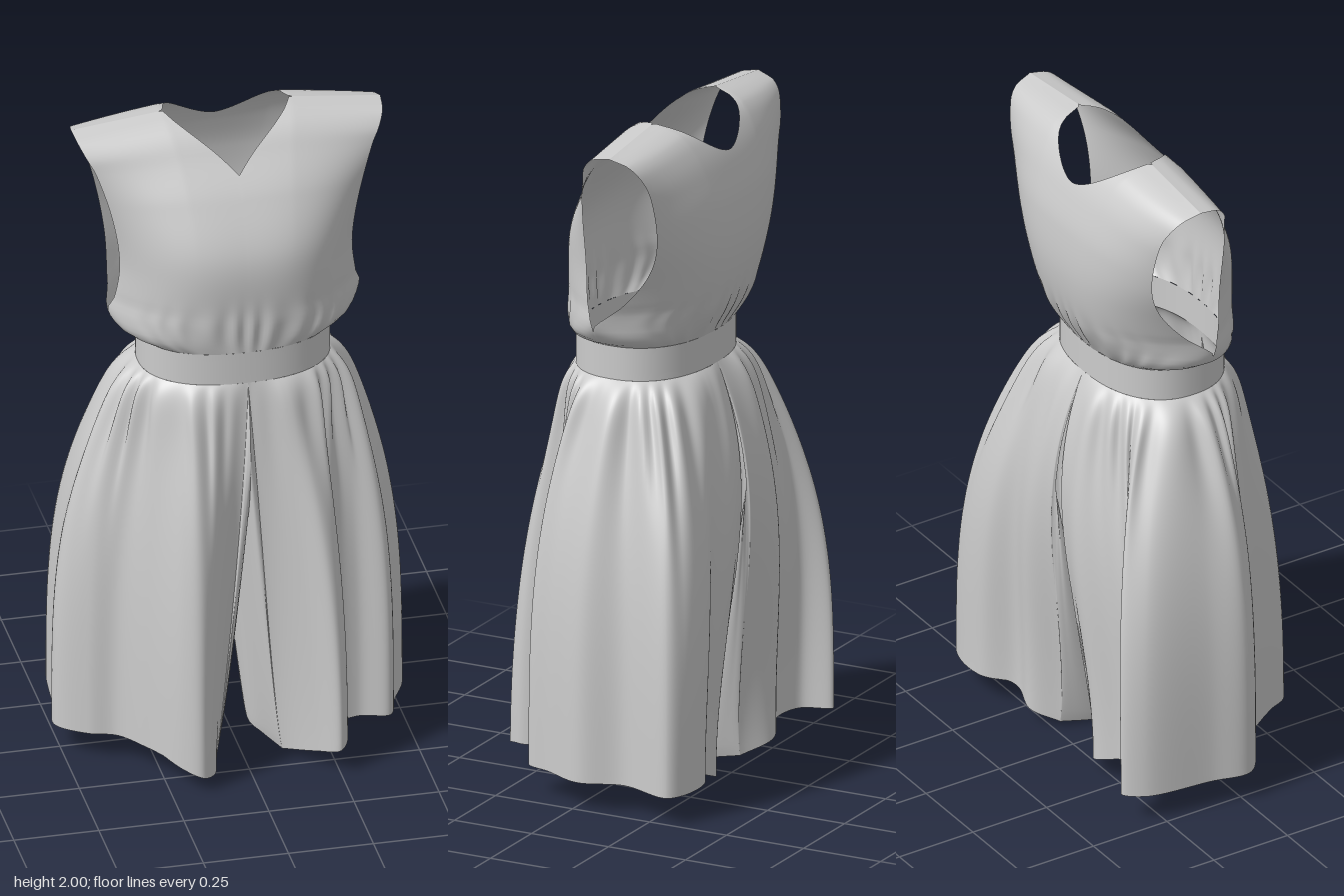
import * as THREE from 'three';
import { mergeGeometries, mergeVertices } from 'three/addons/utils/BufferGeometryUtils.js';

const CX = 0.01, WAIST = 1.24, BAND_TOP = 1.34, NECK = 0.41;
const P = 2.3; // roundness of the waist outline

// Smooth interpolation through [position, value] pairs
function profile(pts) {
  const slope = (i) => {
    const a = pts[Math.max(i - 1, 0)], b = pts[Math.min(i + 1, pts.length - 1)];
    return (b[1] - a[1]) / (b[0] - a[0]);
  };
  return (t) => {
    if (t <= pts[0][0]) return pts[0][1];
    let i = 0;
    while (i < pts.length - 1 && t > pts[i + 1][0]) i++;
    if (i === pts.length - 1) return pts[i][1];
    const [a, va] = pts[i], [b, vb] = pts[i + 1], h = b - a, s = (t - a) / h;
    const s2 = s * s, s3 = s2 * s;
    return va * (2 * s3 - 3 * s2 + 1) + vb * (3 * s2 - 2 * s3)
      + h * (slope(i) * (s3 - 2 * s2 + s) + slope(i + 1) * (s3 - s2));
  };
}

// Grid surface from f(u, v) -> [x, y, z]
function grid(nu, nv, f, flip = false) {
  const pos = [], idx = [];
  for (let j = 0; j <= nv; j++)
    for (let i = 0; i <= nu; i++) pos.push(...f(i / nu, j / nv));
  for (let j = 0; j < nv; j++)
    for (let i = 0; i < nu; i++) {
      const a = j * (nu + 1) + i, b = a + 1, c = a + nu + 1, d = c + 1;
      if (flip) idx.push(a, c, b, b, c, d);
      else idx.push(a, b, c, b, d, c);
    }
  const g = new THREE.BufferGeometry();
  g.setAttribute('position', new THREE.Float32BufferAttribute(pos, 3));
  g.setIndex(idx);
  return g;
}

const material = new THREE.MeshStandardMaterial({ color: 0xcccccc, side: THREE.DoubleSide });

// Sew panels together so normals run smoothly over the seams
function sew(name, panels) {
  const g = mergeVertices(mergeGeometries(panels), 1e-4);
  g.computeVertexNormals();
  const mesh = new THREE.Mesh(g, material);
  mesh.name = name;
  return mesh;
}

// Waist outline; angle 0 is the front centre, going towards +x
function waist(angle) {
  const pw = (n) => Math.sign(n) * Math.abs(n) ** (2 / P);
  return [CX + 0.28 * pw(Math.sin(angle)), -0.01 + 0.2 * pw(Math.cos(angle))];
}

// Bodice: half width, centre depth and armhole edge depth by height
const halfWidth = profile([[1.34, 0.28], [1.37, 0.335], [1.43, 0.37], [1.48, 0.355],
  [1.6, 0.342], [1.75, 0.362], [1.9, 0.405], [1.96, 0.435], [2, 0.455]]);
const frontSide = {
  centre: profile([[1.34, 0.19], [1.45, 0.197], [1.64, 0.195], [1.8, 0.12], [1.9, 0.045], [1.96, -0.005],
    [1.99, -0.055], [2, -0.1]]),
  edge: profile([[1.34, -0.01], [1.38, 0], [1.42, 0], [1.5, 0.025], [1.65, 0.035], [1.8, 0.03],
    [1.93, 0.005], [1.97, -0.02], [1.99, -0.05], [2, -0.1]]),
  neck: (a) => 1.86 + 0.14 * (1 - (1 - a) ** 1.2),
};
const backSide = {
  centre: profile([[1.34, -0.21], [1.45, -0.265], [1.6, -0.295], [1.75, -0.29], [1.85, -0.265],
    [1.92, -0.235], [1.97, -0.195], [1.99, -0.15], [2, -0.1]]),
  edge: profile([[1.34, -0.01], [1.38, 0], [1.42, 0], [1.5, -0.09], [1.6, -0.165], [1.7, -0.2],
    [1.85, -0.205], [1.93, -0.19], [1.98, -0.155], [2, -0.1]]),
  neck: (a) => 1.89 + 0.11 * a ** 1.7,
};

function bodicePanel(side, flip) {
  return grid(120, 60, (a, v) => {
    const u = Math.sin((a - 0.5) * Math.PI), au = Math.min(1, Math.abs(u));
    const shoulder = 2 - 0.03 * Math.max(0, (au - NECK) / (1 - NECK));
    const top = au < NECK ? side.neck(au / NECK) : shoulder;
    const y = BAND_TOP + (top - BAND_TOP) * Math.sin(v * Math.PI / 2);
    const yn = BAND_TOP + (y - BAND_TOP) * (2 - BAND_TOP) / (shoulder - BAND_TOP);
    // Below the armhole both panels share the side seam
    const e = yn <= 1.42 ? -0.01 + 0.01 * Math.min(1, (yn - BAND_TOP) / 0.04) : side.edge(yn);
    // Oval at the waistband, flat chest with slanting sides above
    const oval = Math.max(0, 1 - au ** P) ** (1 / P), chest = 1 - au ** 3;
    const round = THREE.MathUtils.lerp(oval, chest, THREE.MathUtils.smoothstep(yn, BAND_TOP, 1.46));
    const fade = Math.exp(-(((yn - 1.41) / 0.06) ** 2)) * (1 - au * au);
    const gather = 0.005 * fade * Math.sin(u * 34 + 1.5 * Math.sin(u * 9));
    return [CX + u * halfWidth(yn), y, e + (side.centre(yn) - e) * round + gather];
  }, flip);
}

// Trouser legs: hem outline [x, z] front to back round the outside, then back to front inside
const legs = [
  {
    sign: -1,
    outer: [[-0.09, 0.21], [-0.115, 0.31], [-0.16, 0.355], [-0.215, 0.325], [-0.29, 0.21], [-0.36, 0.12],
      [-0.44, 0.09], [-0.52, 0.02], [-0.5, -0.1], [-0.47, -0.3], [-0.42, -0.355], [-0.38, -0.27],
      [-0.28, -0.25], [-0.18, -0.29], [-0.09, -0.23]],
    inner: [[-0.09, -0.23], [-0.055, -0.12], [-0.035, -0.03], [-0.055, 0.08], [-0.09, 0.21]],
  },
  {
    sign: 1,
    outer: [[0.11, 0.19], [0.19, 0.28], [0.25, 0.335], [0.28, 0.29], [0.265, 0.2], [0.34, 0.165],
      [0.43, 0.18], [0.46, 0.1], [0.51, -0.02], [0.47, -0.15], [0.515, -0.31], [0.46, -0.345],
      [0.34, -0.345], [0.25, -0.28], [0.17, -0.29], [0.1, -0.23]],
    inner: [[0.1, -0.23], [0.07, -0.12], [0.06, -0.02], [0.08, 0.07], [0.11, 0.19]],
  },
];
const spline = (pts) => new THREE.CatmullRomCurve3(pts.map(([a, b]) => new THREE.Vector3(a, b, 0)));

// Centre seam [z, y] from back waist under the crotch to front waist
const seam = spline([[-0.21, WAIST], [-0.262, 1.1], [-0.295, 0.96], [-0.295, 0.84], [-0.15, 0.735],
  [0.02, 0.71], [0.17, 0.77], [0.22, 0.92], [0.217, 1.1], [0.19, WAIST]]);

const hemHeight = (x) => 0.085 * Math.min(1, Math.max(0, Math.abs(x - CX) - 0.045) / 0.22);

// A column of cloth falling from a top point to its hem point; swell pushes it along z over the hips
function drape(top, hem, t, power, swell, spread) {
  const e = 1 - (1 - t) ** power;
  const x = top[0] + (hem.x - top[0]) * e;
  const z = top[2] + (hem.y - top[2]) * e + swell * 6.75 * t * (1 - t) ** 2;
  return [CX + (x - CX) * spread, top[1] + (hemHeight(hem.x) - top[1]) * t, z * spread];
}

const BACK_SWELL = -0.085, FRONT_SWELL = 0.022;
const bump = (t, k) => k * t * Math.exp(1 - k * t); // peaks at t = 1 / k

function legPanels({ sign, outer, inner }) {
  const outHem = spline(outer), inHem = spline(inner), flip = sign > 0;
  return [
    grid(150, 70, (s, v) => {
      const t = v ** 1.5, [x, z] = waist(sign * s * Math.PI);
      const bow = Math.sin(s * Math.PI), c = Math.cos(s * Math.PI);
      const swell = (c < 0 ? BACK_SWELL : FRONT_SWELL) * c ** 4;
      const pleat = 0.035 * Math.min(1, 3 * bow) * Math.sin(s * 75 + 2 * Math.sin(s * 17 + sign));
      const spread = 1 + pleat * bump(t, 11) + 0.055 * Math.min(1, 4 * bow) * bump(t, 22);
      return drape([s === 0 || s === 1 ? CX : x, WAIST, z], outHem.getPoint(s), t,
        0.8 + 2.5 * bow, swell, spread);
    }, flip),
    grid(80, 70, (s, v) => {
      // Seat and front columns stay by the outer panel; only the crotch opens into the inside leg
      const p = seam.getPoint(s), h = THREE.MathUtils.smootherstep(s, 0, 1);
      const swell = BACK_SWELL * Math.max(0, 1 - 3 * s) ** 2 + FRONT_SWELL * Math.max(0, 3 * s - 2) ** 2;
      return drape([CX, p.y, p.x], inHem.getPoint(h), v ** 1.5, 0.8, swell, 1);
    }, flip),
  ];
}

export function createModel() {
  const group = new THREE.Group();
  group.name = 'romper';
  group.add(sew('bodice', [bodicePanel(frontSide, false), bodicePanel(backSide, true)]));
  group.add(sew('waistband', [grid(96, 4, (s, v) => {
    const [x, z] = waist(s * Math.PI * 2);
    return [x, WAIST + (BAND_TOP - WAIST) * v, z];
  })]));
  group.add(sew('wideLegs', legs.flatMap(legPanels)));
  return group;
}
